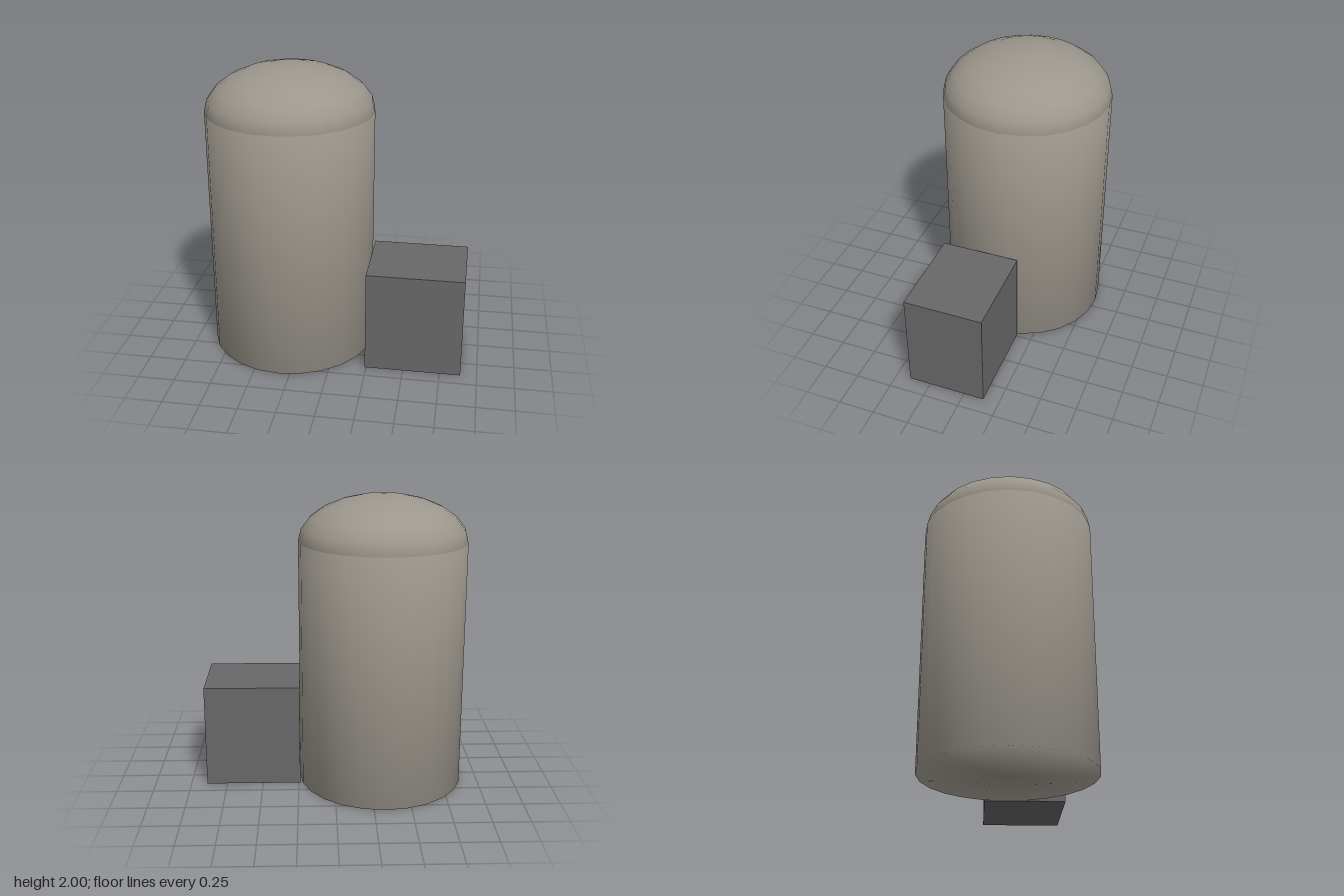
import * as THREE from 'three';

const SIDES = 24, RADIUS = 0.565, WALL = 1.69, RISE = 0.31, TANK_X = -0.325;

export function createModel() {
  const group = new THREE.Group();
  group.name = 'storageTank';

  const tankMetal = new THREE.MeshStandardMaterial({ color: 0x9c978d });
  tankMetal.name = 'warm grey metal';
  const boxMetal = new THREE.MeshStandardMaterial({ color: 0x686868 });
  boxMetal.name = 'dark grey metal';

  const add = (name, geometry, material, x, y, z) => {
    const mesh = new THREE.Mesh(geometry, material);
    mesh.name = name;
    mesh.position.set(x, y, z);
    group.add(mesh);
  };

  // Closed cylindrical wall, with normals softened over both rims
  const wallProfile = [[0, 0], [RADIUS, 0], [RADIUS, WALL], [0, WALL]]
    .map(([r, y]) => new THREE.Vector2(r, y));
  add('tankBody', new THREE.LatheGeometry(wallProfile, SIDES), tankMetal, TANK_X, 0, 0);

  // Flattened hemisphere on top
  const dome = new THREE.SphereGeometry(RADIUS, SIDES, 6, 0, Math.PI * 2, 0, Math.PI / 2);
  dome.scale(1, RISE / RADIUS, 1);
  add('tankDome', dome, tankMetal, TANK_X, WALL, 0);

  // Equipment box standing against the tank's left side
  add('equipmentBox', new THREE.BoxGeometry(0.65, 0.705, 0.54), boxMetal, 0.565, 0.3525, 0.13);

  return group;
}
